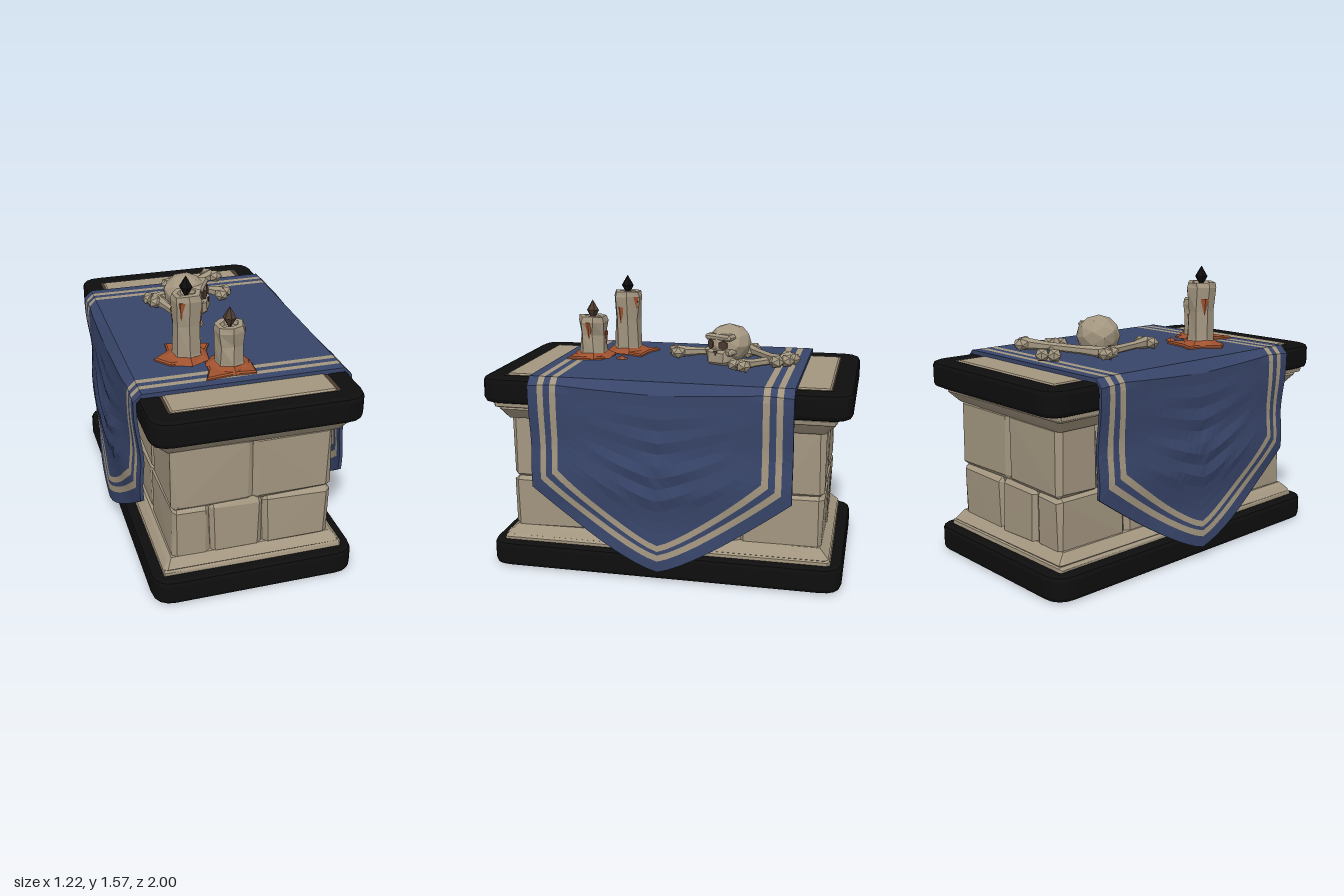
import * as THREE from 'three';
import { ConvexGeometry } from 'three/addons/geometries/ConvexGeometry.js';

const mat = (name, color, side = THREE.FrontSide) => {
  const m = new THREE.MeshStandardMaterial({ color, side });
  m.name = name;
  return m;
};

export function createModel() {
  const stone = mat('stone', 0xa39680);
  const black = mat('black edging', 0x0d0e0d);
  const blue = mat('blue cloth', 0x38456a, THREE.DoubleSide);
  const trim = mat('cloth trim', 0xa39680, THREE.DoubleSide);
  const wax = mat('melted wax', 0xa0522f);
  const brown = mat('dark brown', 0x4c3a2f);

  const model = new THREE.Group();
  model.name = 'altar';
  let seed = 7;
  const rand = () => ((seed = (seed * 16807) % 2147483647) / 2147483647) - 0.5;

  const add = (name, geo, material, parent = model) => {
    const mesh = new THREE.Mesh(geo, material);
    mesh.name = name;
    parent.add(mesh);
    return mesh;
  };
  const group = (name, parent = model) => {
    const g = new THREE.Group();
    g.name = name;
    parent.add(g);
    return g;
  };
  // Faceted copy of a geometry, optionally roughened by position
  const flat = (geo, rough = 0) => {
    const g = geo.index ? geo.toNonIndexed() : geo;
    const p = g.attributes.position;
    for (let i = 0; i < p.count; i++) {
      const x = p.getX(i), y = p.getY(i), z = p.getZ(i);
      p.setXYZ(i, x + rough * Math.sin(41 * y + 23 * z), y + rough * Math.sin(37 * x + 29 * z), z + rough * Math.sin(43 * x + 31 * y));
    }
    g.computeVertexNormals();
    return g;
  };
  // Bevelled, slightly irregular block; flare widens its top
  const block = (x0, x1, y0, y1, z0, z1, bevel = 0.025, jitter = 0.012, flare = 0) => {
    const c = [(x0 + x1) / 2, (y0 + y1) / 2, (z0 + z1) / 2];
    const h = [(x1 - x0) / 2, (y1 - y0) / 2, (z1 - z0) / 2];
    const pts = [];
    for (const sx of [-1, 1]) for (const sy of [-1, 1]) for (const sz of [-1, 1]) for (let k = 0; k < 3; k++) {
      const s = [sx, sy, sz];
      const q = s.map((v, a) => c[a] + v * (h[a] - (a === k ? 0 : bevel) + (a !== 1 ? sy * flare : 0)) + rand() * jitter);
      pts.push(new THREE.Vector3(...q));
    }
    return new ConvexGeometry(pts);
  };

  // Black slab frames around stone panels
  const roundRect = (Type, w, d, r) => {
    const s = new Type();
    s.moveTo(w, -d + r).lineTo(w, d - r).quadraticCurveTo(w, d, w - r, d);
    s.lineTo(-w + r, d).quadraticCurveTo(-w, d, -w, d - r);
    s.lineTo(-w, -d + r).quadraticCurveTo(-w, -d, -w + r, -d);
    s.lineTo(w - r, -d).quadraticCurveTo(w, -d, w, -d + r);
    return s;
  };
  const slab = (name, w, d, y0, y1) => {
    const g = group(name), b = 0.025;
    const s = roundRect(THREE.Shape, w - b, d - b, 0.09);
    s.holes.push(roundRect(THREE.Path, w - 0.1, d - 0.1, 0.03));
    const geo = new THREE.ExtrudeGeometry(s, { depth: y1 - y0 - 2 * b, bevelSize: b, bevelThickness: b, bevelSegments: 2, curveSegments: 4 });
    geo.rotateX(-Math.PI / 2).translate(0, y0 + b, 0);
    add(name + 'Frame', geo, black, g);
    const under = new THREE.BoxGeometry(2 * w - 0.2, y1 - y0 - 0.02, 2 * d - 0.2);
    add(name + 'Panel', under.translate(0, (y0 + y1) / 2, 0), stone, g);
    return g;
  };
  slab('baseSlab', 0.555, 0.98, 0, 0.14);
  const top = slab('topSlab', 0.555, 1, 0.945, 1.085);
  add('topPanelShadow', new THREE.BoxGeometry(0.91, 0.006, 1.8).translate(0, 1.077, 0), brown, top);
  add('topPanelStone', block(-0.432, 0.425, 1.05, 1.088, -0.885, 0.885, 0.01, 0.006), stone, top);

  // Stone courses and mouldings
  const body = group('stoneBody');
  add('plinthLower', block(-0.495, 0.495, 0.11, 0.17, -0.915, 0.915, 0.015), stone, body);
  add('plinthUpper', block(-0.475, 0.475, 0.15, 0.215, -0.895, 0.895, 0.02, 0.012, -0.015), stone, body);
  add('core', new THREE.BoxGeometry(0.8, 0.75, 1.68).translate(0, 0.53, 0), stone, body);
  const course = (name, y0, y1, xs, zs) => {
    for (let i = 0; i + 1 < xs.length; i++) for (let j = 0; j + 1 < zs.length; j++) {
      add(name, block(xs[i], xs[i + 1], y0, y1, zs[j], zs[j + 1]), stone, body);
    }
  };
  course('lowerBlock', 0.19, 0.5, [-0.43, -0.23, 0.06, 0.43], [-0.865, -0.42, 0, 0.4, 0.865]);
  course('upperBlock', 0.49, 0.87, [-0.43, 0, 0.43], [-0.865, -0.6, -0.1, 0.45, 0.865]);
  add('capMouldingLower', block(-0.485, 0.485, 0.85, 0.93, -0.895, 0.895, 0.02, 0.012, 0.015), stone, body);
  add('capMouldingUpper', block(-0.525, 0.525, 0.915, 0.955, -0.925, 0.925, 0.01, 0.008), stone, body);

  // Altar cloth: nested outlines [half width, corner height, tip height]
  const cloth = group('altarCloth');
  const outlines = [[0.71, 0.49, 0.068], [0.655, 0.54, 0.13], [0.622, 0.56, 0.165], [0.587, 0.58, 0.185], [0.552, 0.6, 0.218]];
  const TOP = 1.108, N = 14, M = 24;
  const clothX = (z, y) => {
    const e = Math.min(1, Math.abs(z) / 0.7);
    const t = THREE.MathUtils.clamp((1.0 - y) / 0.3, 0, 1);
    const swag = Math.max(0, 1 - Math.abs(z) / 0.45) * t * THREE.MathUtils.smoothstep(y, 0.4, 0.55);
    const x = 0.58 + t * (0.018 - 0.045 * e ** 3) + 0.013 * swag * Math.sin((y - 0.75 * z * z) * 42);
    return x + 0.008 * t * Math.sin(y * 14) - Math.max(0, (y - 1.065) / 0.043) * 0.045;
  };
  const bottom = ([w, c, tip], s) => [w * s, tip + (c - tip) * Math.abs(s) ** 1.25];
  const outline = (o) => {
    const pts = [];
    for (let i = 0; i < N; i++) pts.push([-o[0], THREE.MathUtils.lerp(TOP, o[1], i / N)]);
    for (let i = 0; i <= M; i++) pts.push(bottom(o, -1 + (2 * i) / M));
    for (let i = N - 1; i >= 0; i--) pts.push([o[0], THREE.MathUtils.lerp(TOP, o[1], i / N)]);
    return pts;
  };
  const sheet = (rows) => {
    const n = rows[0].length, idx = [];
    for (let r = 0; r + 1 < rows.length; r++) for (let i = 0; i + 1 < n; i++) {
      const a = r * n + i, b = a + n;
      idx.push(a, b, a + 1, b, b + 1, a + 1);
    }
    const g = new THREE.BufferGeometry();
    g.setAttribute('position', new THREE.Float32BufferAttribute(rows.flat(2), 3));
    g.setIndex(idx);
    return flat(g);
  };
  for (const side of [-1, 1]) {
    const lay = (pts, inset) => pts.map(([z, y]) => [side * (clothX(z, y) - inset), y, z]);
    for (const inset of [0, 0.018]) {
      for (let k = 0; k < 4; k++) {
        add(k % 2 ? 'hangingStripe' : 'hangingBorder', sheet([lay(outline(outlines[k]), inset), lay(outline(outlines[k + 1]), inset)]), k % 2 ? trim : blue, cloth);
      }
      const rows = [];
      for (let r = 0; r <= N; r++) {
        const row = [];
        for (let i = 0; i <= M; i++) {
          const [z, y] = bottom(outlines[4], -1 + (2 * i) / M);
          row.push([z, THREE.MathUtils.lerp(TOP, y, r / N)]);
        }
        rows.push(lay(row, inset));
      }
      add('hangingCloth', sheet(rows), blue, cloth);
    }
    const rim = outline(outlines[0]);
    add('clothRim', sheet([lay(rim, 0), lay(rim, 0.018)]), blue, cloth);
  }
  const edges = [...outlines.map((o) => -o[0]), ...outlines.map((o) => o[0]).reverse()];
  for (let i = 0; i + 1 < edges.length; i++) {
    const d = edges[i + 1] - edges[i];
    const striped = i % 2 === 1;
    add(striped ? 'topStripe' : 'topCloth', new THREE.BoxGeometry(1.07, 0.026, d).translate(0, TOP - 0.013, edges[i] + d / 2), striped ? trim : blue, cloth);
  }

  // Candles, wax puddles and drips
  const candle = (name, x, z, h, flameMat, puddle, dripAngles) => {
    const g = group(name);
    g.position.set(x, TOP, z);
    const profile = [[0.092, 0], [0.08, 0.04], [0.075, h * 0.55], [0.086, h - 0.03], [0.078, h], [0.05, h], [0.042, h - 0.02], [0, h - 0.02]];
    add('candleStick', flat(new THREE.LatheGeometry(profile.map((p) => new THREE.Vector2(...p)), 7), 0.005), stone, g);
    const flame = [[0, -0.03], [0.02, 0], [0.036, 0.03], [0, 0.09]].map((p) => new THREE.Vector2(...p));
    add('flame', flat(new THREE.LatheGeometry(flame, 6).translate(0, h + 0.003, 0)), flameMat, g);
    const s = new THREE.Shape(puddle.map(([px, pz]) => new THREE.Vector2(px - x, z - pz)));
    const geo = new THREE.ExtrudeGeometry(s, { depth: 0.008, bevelSize: 0.008, bevelThickness: 0.008, bevelSegments: 1, bevelOffset: -0.008 });
    add('waxPuddle', geo.rotateX(-Math.PI / 2), wax, g);
    add('waxFoot', flat(new THREE.CylinderGeometry(0.085, 0.125, 0.025, 7).translate(0, 0.02, 0), 0.006), wax, g);
    dripAngles.forEach((a, i) => {
      const drip = add('waxDrip', flat(new THREE.ConeGeometry(0.025, 0.1, 4).rotateX(Math.PI).scale(1, 1, 0.5)), wax, g);
      drip.position.set(Math.sin(a) * 0.073, h - 0.08 - 0.06 * (i % 2), Math.cos(a) * 0.073);
      drip.rotation.y = a;
    });
  };
  candle('tallCandle', -0.215, 0.365, 0.365, black,
    [[-0.39, 0.36], [-0.3, 0.28], [-0.29, 0.19], [-0.2, 0.23], [-0.06, 0.25], [-0.1, 0.33], [-0.13, 0.42], [-0.22, 0.44], [-0.32, 0.45]], [-0.6, 1.2, 2.6, 4.2]);
  candle('shortCandle', -0.03, 0.525, 0.24, brown,
    [[-0.14, 0.46], [-0.08, 0.41], [0.07, 0.45], [0.09, 0.54], [0.08, 0.65], [-0.04, 0.64], [-0.19, 0.66], [-0.15, 0.56]], [1.5, 3.4]);
  add('waxDroplet', flat(new THREE.ConeGeometry(0.035, 0.02, 5).translate(0.005, TOP + 0.01, 0.345)), wax);

  // Bones
  const bone = (a, b) => {
    const g = group('bone');
    const from = new THREE.Vector3(...a), to = new THREE.Vector3(...b);
    const len = from.distanceTo(to);
    g.position.copy(from).lerp(to, 0.5);
    g.lookAt(to);
    const shaft = [[0.036, -len / 2], [0.024, -len / 5], [0.023, len / 5], [0.036, len / 2]].map((p) => new THREE.Vector2(...p));
    add('boneShaft', flat(new THREE.LatheGeometry(shaft, 6).rotateX(Math.PI / 2)), stone, g);
    for (const e of [-1, 1]) for (const s of [-1, 1]) {
      const knob = new THREE.IcosahedronGeometry(0.042, 0).scale(1, 0.9, 1.1);
      add('boneKnob', knob.translate(s * 0.033, 0, e * (len / 2 - 0.005 * s)), stone, g);
    }
  };
  bone([-0.23, 1.15, -0.36], [0.2, 1.175, -0.6]);
  bone([-0.05, 1.145, -0.62], [0.21, 1.145, -0.37]);
  bone([-0.19, 1.145, -0.36], [-0.1, 1.145, 0.04]);

  // Skull, face along local +z
  const skull = group('skull');
  skull.position.set(-0.05, 1.215, -0.275);
  skull.rotation.y = Math.atan2(1, 0.5);
  add('cranium', flat(new THREE.IcosahedronGeometry(0.122, 1).scale(1, 0.92, 1.08), 0.004), stone, skull);
  add('jaw', block(-0.07, 0.07, -0.11, -0.02, -0.01, 0.135, 0.02, 0.012), stone, skull);
  add('brow', block(-0.085, 0.085, 0.03, 0.065, 0.05, 0.123, 0.012, 0.006), stone, skull);
  for (const s of [-1, 1]) {
    add('cheek', block(s * 0.07 - 0.025, s * 0.07 + 0.025, -0.05, -0.015, 0.03, 0.12, 0.012, 0.006), stone, skull);
    const eye = add('eyeSocket', new THREE.CylinderGeometry(0.028, 0.028, 0.008, 6).rotateX(Math.PI / 2), brown, skull);
    eye.position.set(s * 0.043, 0.008, 0.122);
    eye.rotation.y = s * 0.35;
  }
  const nose = add('noseHole', new THREE.CylinderGeometry(0.016, 0.016, 0.008, 3).rotateX(Math.PI / 2), brown, skull);
  nose.position.set(0, -0.035, 0.136);
  return model;
}
